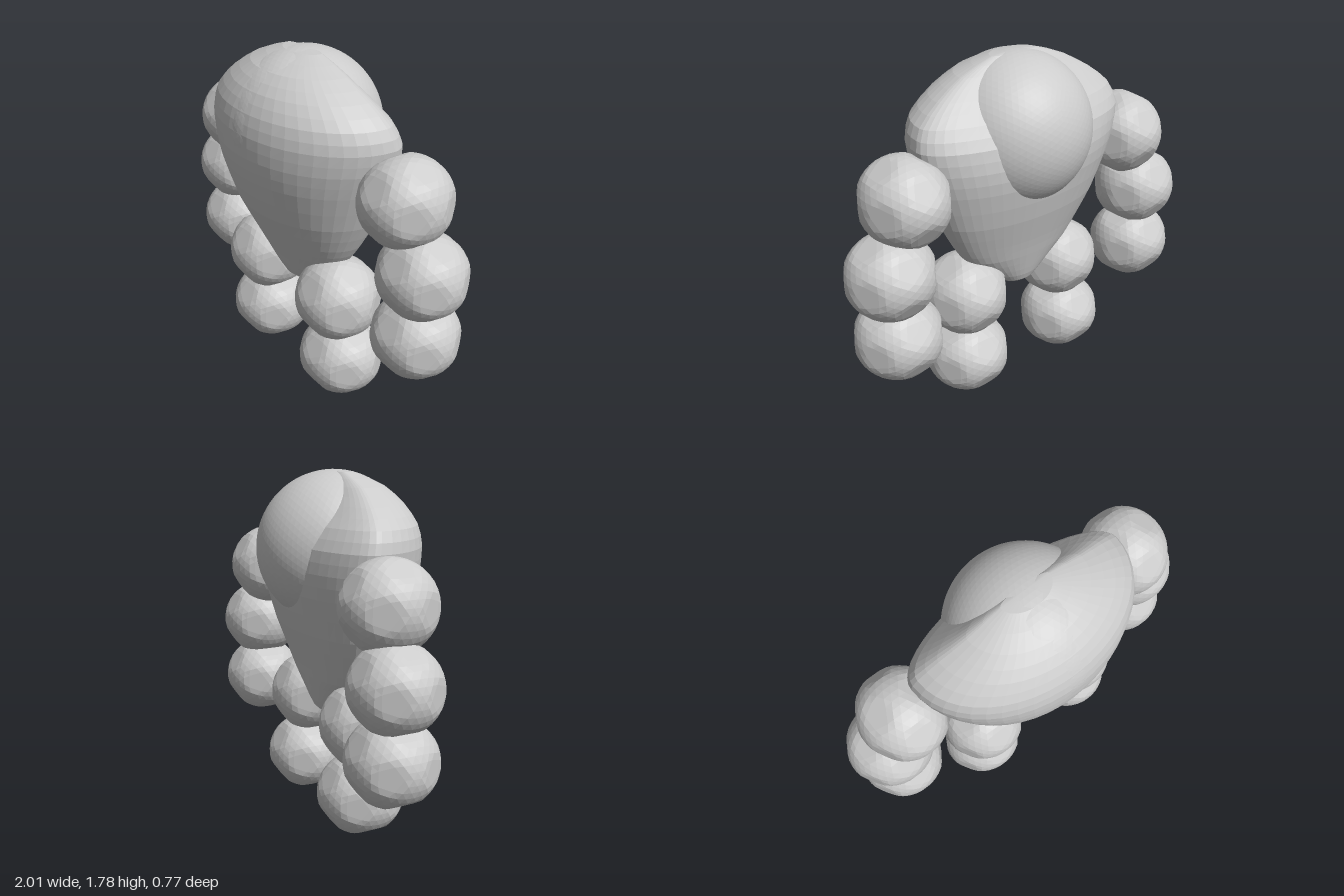
import * as THREE from 'three';

const material = new THREE.MeshStandardMaterial({ color: 0xcccccc, flatShading: true });

// Torso sections, top to bottom: y, half width, front z, back z, z of the side edge
const sections = [
  [1.775, 0, 0, 0, 0],
  [1.765, 0.13, 0.085, -0.03, 0],
  [1.7, 0.31, 0.228, -0.08, 0],
  [1.62, 0.45, 0.31, -0.14, -0.02],
  [1.53, 0.56, 0.36, -0.22, -0.04],
  [1.43, 0.595, 0.384, -0.28, -0.06],
  [1.32, 0.575, 0.384, -0.3, -0.06],
  [1.2, 0.535, 0.365, -0.29, -0.06],
  [1.0, 0.46, 0.3, -0.24, -0.05],
  [0.85, 0.385, 0.225, -0.19, -0.03],
  [0.75, 0.32, 0.175, -0.16, -0.02],
  [0.65, 0.215, 0.13, -0.13, 0],
  [0.57, 0.12, 0.09, -0.1, 0],
  [0.54, 0.07, 0.05, -0.06, 0],
  [0.53, 0, 0, 0, 0],
];

// Tapered torso: a grid wrapped around the sections
function torsoGeometry() {
  const across = 48, perSection = 2, rows = (sections.length - 1) * perSection;
  const geometry = new THREE.PlaneGeometry(1, 1, across, rows);
  const position = geometry.attributes.position;
  const size = new THREE.CatmullRomCurve3(sections.map(s => new THREE.Vector3(s[1], s[2], s[3])));
  const place = new THREE.CatmullRomCurve3(sections.map(s => new THREE.Vector3(0, s[0], s[4])));
  for (let r = 0; r <= rows; r++) {
    const s = size.getPoint(r / rows), p = place.getPoint(r / rows);
    for (let c = 0; c <= across; c++) {
      const a = (c / across) * Math.PI * 2, k = Math.cos(a);
      const depth = k > 0 ? s.y - p.z : p.z - s.z;
      position.setXYZ(r * (across + 1) + c, s.x * Math.sin(a), p.y, p.z + depth * k);
    }
  }
  geometry.computeVertexNormals();
  return geometry;
}

// Unit ball with twelve softly flattened patches
function lumpGeometry() {
  const phi = (1 + Math.sqrt(5)) / 2, axes = [];
  for (const s of [-1, 1]) for (const t of [-phi, phi]) {
    axes.push(new THREE.Vector3(0, s, t), new THREE.Vector3(s, t, 0), new THREE.Vector3(t, 0, s));
  }
  axes.forEach(a => a.normalize());
  const geometry = new THREE.IcosahedronGeometry(1, 6);
  const position = geometry.attributes.position, v = new THREE.Vector3();
  for (let i = 0; i < position.count; i++) {
    v.fromBufferAttribute(position, i).normalize();
    const facing = Math.max(...axes.map(a => a.dot(v)));
    v.multiplyScalar(Math.min(1.03, 0.965 / facing));
    position.setXYZ(i, v.x, v.y, v.z);
  }
  geometry.computeVertexNormals();
  return geometry;
}

// Limb lumps: name, centre, radii
const limbs = {
  Arm: [
    ['upperArm', [0.675, 1.22, -0.065], [0.208, 0.212, 0.222]],
    ['forearm', [0.787, 0.885, -0.09], [0.214, 0.205, 0.21]],
    ['hand', [0.77, 0.547, -0.092], [0.213, 0.203, 0.21]],
  ],
  Leg: [
    ['thigh', [0.308, 0.553, 0.012], [0.213, 0.212, 0.213]],
    ['foot', [0.32, 0.2, -0.008], [0.215, 0.2, 0.211]],
  ],
};

export function createModel() {
  const model = new THREE.Group();
  const add = (parent, name, geometry) => {
    const mesh = new THREE.Mesh(geometry, material);
    mesh.name = name;
    parent.add(mesh);
    return mesh;
  };

  add(model, 'torso', torsoGeometry());

  // Round core that bulges out of the back
  add(model, 'core', new THREE.IcosahedronGeometry(0.386, 14)).position.set(0, 1.389, 0);

  // Mirrored arms and legs made of stacked lumps
  const lump = lumpGeometry();
  for (const [side, sign] of [['left', 1], ['right', -1]]) {
    for (const [limb, parts] of Object.entries(limbs)) {
      const group = new THREE.Group();
      group.name = side + limb;
      for (const [name, [x, y, z], radii] of parts) {
        const mesh = add(group, name, lump);
        mesh.position.set(sign * x, y, z);
        mesh.scale.set(...radii);
      }
      model.add(group);
    }
  }
  return model;
}
